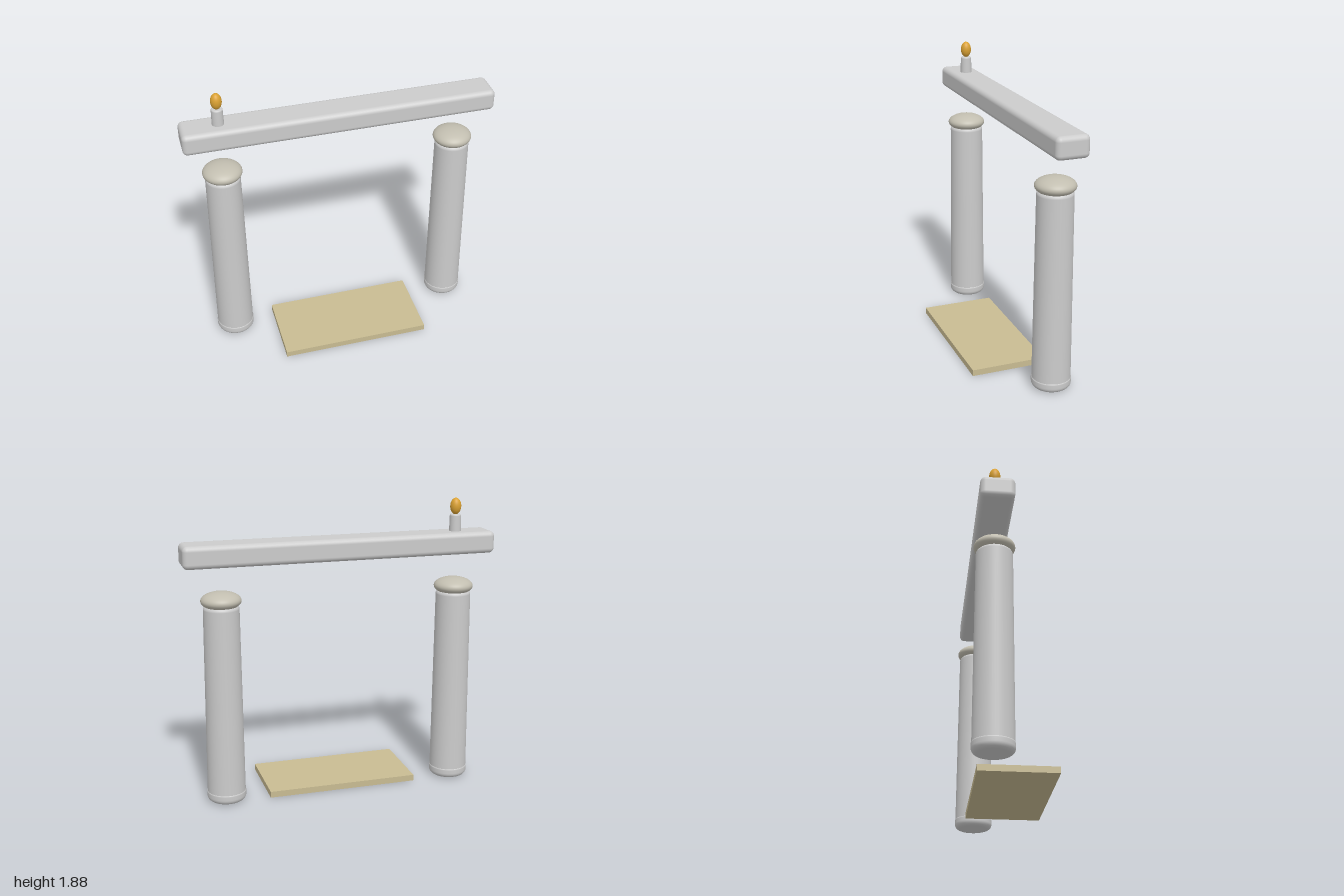
import * as THREE from 'three';
import { RoundedBoxGeometry } from 'three/addons/geometries/RoundedBoxGeometry.js';

const grey = new THREE.MeshStandardMaterial({ color: 0xcccccc });
const capStone = new THREE.MeshStandardMaterial({ color: 0xc2beb0 });
const hearthStone = new THREE.MeshStandardMaterial({ color: 0xc8bb92 });
const flameGold = new THREE.MeshStandardMaterial({ color: 0xdba233 });

const BACK_Z = -0.145; // line shared by columns, mantel and candle
const COLUMN_X = 0.763;

function add(parent, name, geometry, material, x = 0, y = 0, z = 0) {
  const mesh = new THREE.Mesh(geometry, material);
  mesh.name = name;
  mesh.position.set(x, y, z);
  parent.add(mesh);
  return mesh;
}

// Solid turned about y, with quarter-round edges: bottom and top radius, y range, edge roundings
function roundedPost(rBottom, rTop, y0, y1, e0, e1, segments = 48) {
  const points = [new THREE.Vector2(0, y0)];
  const steps = 6;
  for (let i = 0; i <= steps; i++) {
    const a = (i / steps) * Math.PI / 2;
    points.push(new THREE.Vector2(rBottom - e0 + e0 * Math.sin(a), y0 + e0 - e0 * Math.cos(a)));
  }
  for (let i = 0; i <= steps; i++) {
    const a = (i / steps) * Math.PI / 2;
    points.push(new THREE.Vector2(rTop - e1 + e1 * Math.cos(a), y1 - e1 + e1 * Math.sin(a)));
  }
  points.push(new THREE.Vector2(0, y1));
  return new THREE.LatheGeometry(points, segments);
}

function createColumn(name, x) {
  const column = new THREE.Group();
  column.name = name;
  column.position.set(x, 0, BACK_Z);

  add(column, 'columnBase', roundedPost(0.125, 0.125, 0.005, 0.075, 0.035, 0.012), grey);
  add(column, 'columnShaft', roundedPost(0.122, 0.112, 0.03, 1.285, 0.02, 0.025), grey);

  // Flattened dome, its underside tucked into the shaft
  const cap = add(column, 'columnCap', new THREE.SphereGeometry(1, 48, 24), capStone, 0, 1.313, 0);
  cap.scale.set(0.126, 0.057, 0.126);
  return column;
}

export function createModel() {
  const model = new THREE.Group();
  model.name = 'fireplaceSurround';

  // Pair of columns
  model.add(createColumn('leftColumn', COLUMN_X), createColumn('rightColumn', -COLUMN_X));

  // Floating mantel beam
  add(model, 'mantelBeam', new RoundedBoxGeometry(2, 0.14, 0.21, 5, 0.032), grey, 0, 1.6, BACK_Z);

  // Hearth slab on the floor
  add(model, 'hearthSlab', new THREE.BoxGeometry(0.98, 0.04, 0.485), hearthStone, 0, 0.022, 0.028);

  // Candle with its flame, on the right end of the mantel
  const candle = new THREE.Group();
  candle.name = 'candle';
  candle.position.set(-COLUMN_X, 0, BACK_Z);
  add(candle, 'candleStick', roundedPost(0.038, 0.036, 1.655, 1.778, 0.004, 0.01, 32), grey);
  const flame = add(candle, 'candleFlame', new THREE.SphereGeometry(1, 32, 20), flameGold, 0, 1.828, 0);
  flame.scale.set(0.035, 0.053, 0.035);
  model.add(candle);

  return model;
}
